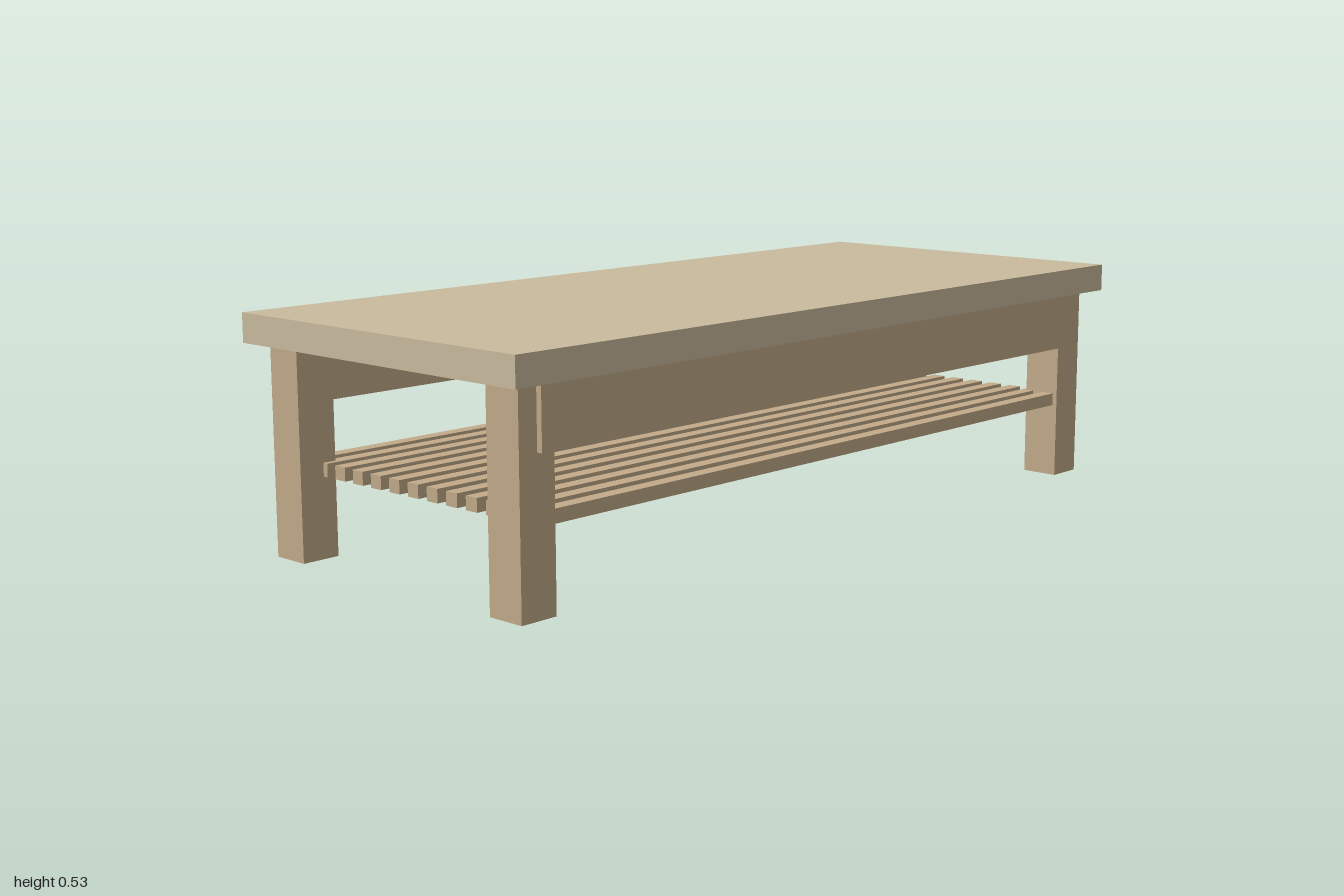
import * as THREE from 'three';

export function createModel() {
  const table = new THREE.Group();
  table.name = 'coffeeTable';
  const topWood = new THREE.MeshStandardMaterial({ color: 0xcabb9e });
  const frameWood = new THREE.MeshStandardMaterial({ color: 0xc2ab8a });

  const addBox = (name, material, [w, h, d], [x, y, z]) => {
    const mesh = new THREE.Mesh(new THREE.BoxGeometry(w, h, d), material);
    mesh.name = name;
    mesh.position.set(x, y, z);
    table.add(mesh);
  };

  // Table top
  addBox('tableTop', topWood, [2, 0.065, 0.854], [0, 0.4985, 0]);

  for (const sz of [1, -1]) {
    const side = sz > 0 ? 'front' : 'back';
    // Square legs at the corners
    for (const sx of [1, -1]) {
      addBox(side + (sx > 0 ? 'LeftLeg' : 'RightLeg'), frameWood,
        [0.091, 0.466, 0.091], [sx * 0.914, 0.233, sz * 0.3425]);
    }
    // Long apron, let into the legs and standing slightly proud of them
    addBox(side + 'Apron', frameWood, [1.826, 0.136, 0.045], [0, 0.398, sz * 0.379]);
  }

  // Slatted shelf, its outer slats running into the legs
  for (let i = -6; i <= 6; i++) {
    addBox('shelfSlat', frameWood, [1.8, 0.03, 0.033], [0, 0.195, i * 0.06]);
  }
  return table;
}
